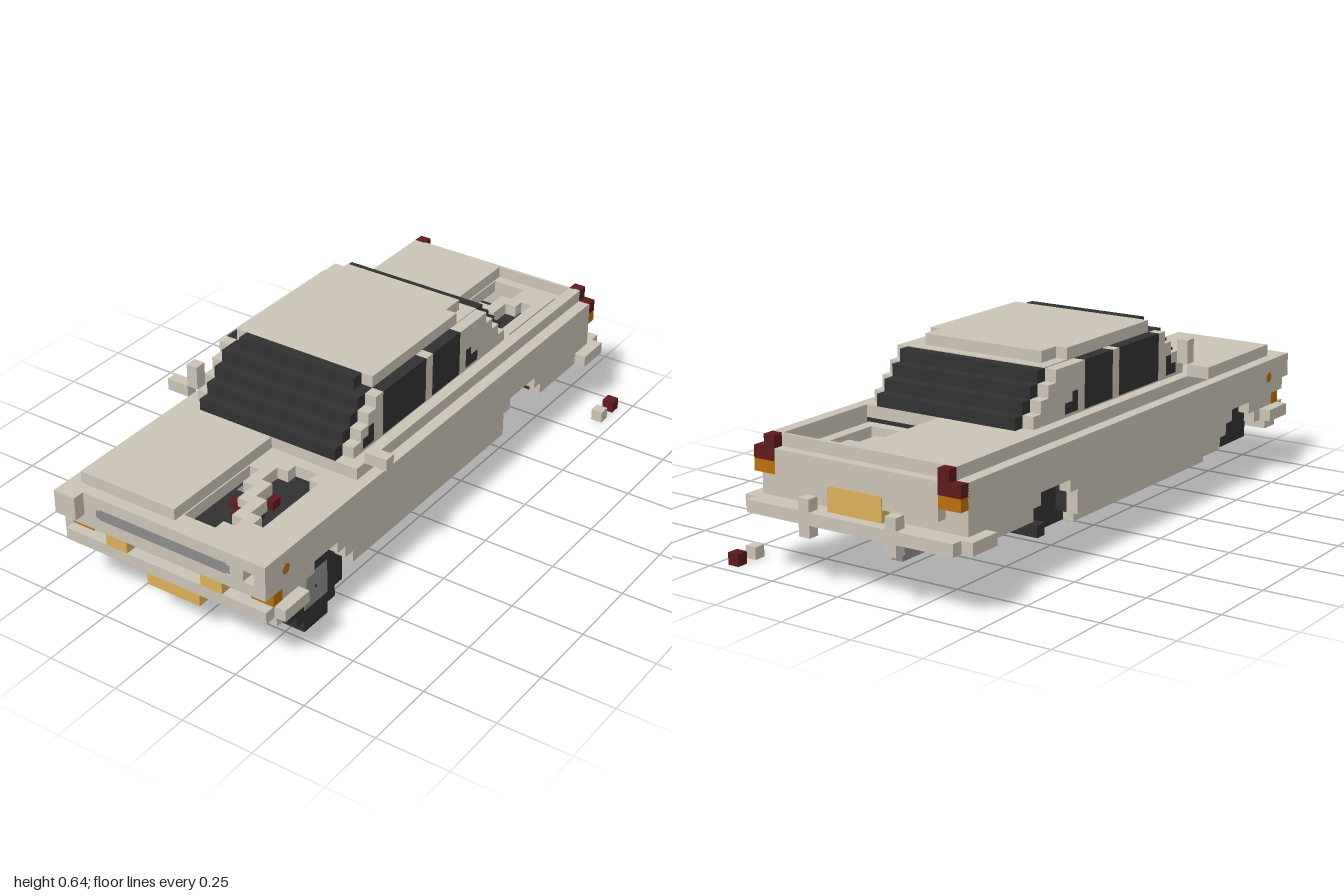
import * as THREE from 'three';

const paint = (name, color) => {
  const m = new THREE.MeshStandardMaterial({ color });
  m.name = name;
  return m;
};

export function createModel() {
  const car = new THREE.Group();
  car.name = 'wreckedCar';
  const beige = paint('beigePaint', 0xcac4b5);
  const dark = paint('darkGlassAndRubber', 0x313131);
  const grey = paint('greyMetal', 0x8c8c8c);
  const gold = paint('goldLampAndPlate', 0xdcb25b);
  const orange = paint('orangeLamp', 0xbc700d);
  const red = paint('redLamp', 0x5e1a1c);
  const MID = -0.04; // centre line of the body

  const add = (name, geo, mat) => {
    const mesh = new THREE.Mesh(geo, mat);
    mesh.name = name;
    car.add(mesh);
    return mesh;
  };
  // box from its two extreme corners
  const box = (name, mat, x0, x1, y0, y1, z0, z1) =>
    add(name, new THREE.BoxGeometry(x1 - x0, y1 - y0, z1 - z0)
      .translate((x0 + x1) / 2, (y0 + y1) / 2, (z0 + z1) / 2), mat);
  // the same box on both sides of the centre line
  const pair = (name, mat, x0, x1, ...rest) => {
    box(name + 'Left', mat, x0, x1, ...rest);
    box(name + 'Right', mat, 2 * MID - x1, 2 * MID - x0, ...rest);
  };
  const outline = pts => pts.map(([a, b]) => new THREE.Vector2(a, b));
  const extrude = (pts, holes, depth) => {
    const s = new THREE.Shape(outline(pts));
    for (const h of holes) s.holes.push(new THREE.Path(outline(h)));
    return new THREE.ExtrudeGeometry(s, { depth, bevelEnabled: false });
  };

  // side panels with stepped wheel arches, profile in (z, y)
  const arch = (c, steps) => {
    const half = [];
    for (const [w, y0, y1] of steps) half.push([w, y0], [w, y1]);
    return [...half.map(([w, y]) => [c - w, y]), ...half.reverse().map(([w, y]) => [c + w, y])];
  };
  const profile = [
    [-0.92, 0.4], [-0.92, 0.2], [-0.6, 0.2],
    ...arch(-0.48, [[0.12, 0.16, 0.24], [0.08, 0.24, 0.28]]).slice(1),
    ...arch(0.66, [[0.14, 0.16, 0.2], [0.1, 0.2, 0.24], [0.06, 0.24, 0.28]]).slice(0, -1),
    [0.88, 0.2], [0.88, 0.28], [0.92, 0.28], [0.92, 0.4],
  ];
  for (const [side, x] of [['Left', 0.34], ['Right', -0.38]])
    add('sidePanel' + side, extrude(profile, [], 0.04).rotateY(-Math.PI / 2).translate(x, 0, 0), beige);
  pair('sill', beige, 0.26, 0.3, 0.12, 0.18, -0.32, 0.48);

  // dark underbody and inner liners
  box('floor', dark, -0.34, 0.22, 0.12, 0.2, -0.48, 0.84);
  box('rearFloor', dark, -0.34, 0.22, 0.16, 0.24, -0.84, -0.48);
  box('bayFloor', dark, -0.34, 0.22, 0.2, 0.3, -0.9, 0.88);
  box('cabinTub', dark, -0.38, 0.3, 0.28, 0.4, -0.5, 0.42);
  pair('sillFloor', dark, 0.22, 0.26, 0.12, 0.3, -0.32, 0.52);
  pair('sideFloor', dark, 0.26, 0.3, 0.16, 0.3, -0.36, 0.52);
  pair('archRoofFront', dark, 0.22, 0.3, 0.28, 0.32, 0.48, 0.86);
  pair('archRoofRear', dark, 0.22, 0.3, 0.28, 0.32, -0.9, -0.32);
  pair('rearSkirtFloor', dark, 0.22, 0.3, 0.2, 0.28, -0.88, -0.6);
  box('rearAxle', dark, -0.38, 0.22, 0.12, 0.16, -0.52, -0.48);

  // front and rear panels, with an empty headlight socket
  add('frontPanel', extrude([[-0.42, 0.28], [0.34, 0.28], [0.34, 0.4], [-0.42, 0.4]],
    [[[0.26, 0.32], [0.26, 0.36], [0.3, 0.36], [0.3, 0.32]]], 0.04).translate(0, 0, 0.92), beige);
  box('frontInnerPanel', beige, -0.38, 0.3, 0.2, 0.4, 0.88, 0.92);
  box('bentFenderCorner', beige, -0.42, -0.34, 0.32, 0.4, 0.96, 1);
  box('rearPanel', beige, -0.42, 0.34, 0.2, 0.4, -0.925, -0.89);
  box('rearLampPanel', beige, -0.34, 0.26, 0.28, 0.4, -0.96, -0.92);
  box('rearPanelTop', beige, -0.38, 0.3, 0.4, 0.44, -0.925, -0.915);

  // bumpers and lower valance
  box('frontBumper', beige, -0.42, 0.34, 0.2, 0.24, 0.88, 0.96);
  pair('frontBumperEnd', beige, 0.34, 0.38, 0.2, 0.24, 0.8, 0.92);
  box('frontValance', beige, -0.42, 0.34, 0.16, 0.2, 0.84, 0.91);
  box('rearBumper', beige, -0.42, 0.34, 0.2, 0.24, -1, -0.92);
  pair('rearBumperEnd', beige, 0.34, 0.38, 0.2, 0.24, -0.96, -0.84);
  pair('rearBumperGuard', beige, 0.1, 0.14, 0.16, 0.28, -1, -0.96);

  // decks: raised right halves, broken left halves with holes, in (x, -z)
  const deck = (name, z0, z1, holes) => {
    const flip = pts => pts.map(([x, z]) => [x, -z]);
    add(name, extrude(flip([[-0.02, z0], [-0.02, z1], [0.22, z1], [0.22, z0]]), holes.map(flip), 0.04)
      .rotateX(-Math.PI / 2).translate(0, 0.36, 0), beige);
  };
  deck('brokenHood', 0.42, 0.92, [
    [[-0.015, 0.56], [0.02, 0.56], [0.02, 0.64], [0.06, 0.64], [0.06, 0.72], [0.1, 0.72],
      [0.1, 0.8], [0.14, 0.8], [0.14, 0.84], [0.1, 0.84], [0.1, 0.88], [-0.015, 0.88]],
    [[0.1, 0.48], [0.18, 0.48], [0.18, 0.52], [0.215, 0.52], [0.215, 0.8], [0.18, 0.8],
      [0.18, 0.76], [0.14, 0.76], [0.14, 0.68], [0.1, 0.68], [0.1, 0.6], [0.06, 0.6], [0.06, 0.52], [0.1, 0.52]],
  ]);
  deck('brokenTrunkLid', -0.92, -0.56, [
    [[-0.015, -0.88], [0.1, -0.88], [0.1, -0.8], [0.06, -0.8], [0.06, -0.72], [0.02, -0.72], [0.02, -0.68], [-0.015, -0.68]],
    [[0.14, -0.8], [0.18, -0.8], [0.18, -0.6], [0.06, -0.6], [0.06, -0.68], [0.1, -0.68], [0.1, -0.76], [0.14, -0.76]],
  ]);
  box('hoodEdge', beige, 0.22, 0.3, 0.36, 0.4, 0.42, 0.92);
  box('hood', beige, -0.38, -0.02, 0.36, 0.44, 0.44, 0.92);
  box('trunkLid', beige, -0.38, -0.02, 0.36, 0.44, -0.92, -0.52);
  box('trunkRail', beige, 0.26, 0.3, 0.32, 0.44, -0.92, -0.52);
  box('waistDeck', beige, -0.38, 0.3, 0.4, 0.44, -0.52, 0.44);

  // engine and its loose parts
  box('engineBlock', dark, -0.02, 0.1, 0.3, 0.36, 0.64, 0.88);
  box('engineHose', grey, -0.015, 0.02, 0.3, 0.35, 0.6, 0.64);
  for (const [x, y, z] of [[0.06, 0.33, 0.56], [0.02, 0.37, 0.68], [0.06, 0.37, 0.72]])
    box('enginePart', red, x, x + 0.04, y - 0.04, y, z, z + 0.04);

  // stepped cabin: glass core with painted pillars on each side
  for (let k = 0; k < 4; k++) {
    const s = 0.04 * k, y = 0.44 + s;
    box('cabinGlass', dark, -0.3, 0.22, y, y + 0.04, -0.52 + s, 0.44 - s);
    pair('cabinSide', beige, 0.22, 0.26, y, y + 0.04, -0.48 + s, 0.4 - s);
  }
  box('windscreenTop', dark, -0.26, 0.18, 0.6, 0.64, 0.24, 0.28);
  box('roof', beige, -0.3, 0.22, 0.6, 0.64, -0.24, 0.24);
  box('roofRear', beige, -0.26, 0.18, 0.6, 0.64, -0.32, -0.24);
  box('roofRearLip', beige, -0.3, 0.22, 0.595, 0.603, -0.36, -0.24);

  // side windows
  const windows = [
    ['frontWindow', 0.445, 0.601, 0, 0.24], ['rearWindow', 0.445, 0.601, -0.2, -0.04],
    ['frontQuarterLow', 0.45, 0.485, 0.29, 0.35], ['frontQuarterHigh', 0.48, 0.515, 0.29, 0.32],
    ['rearQuarterLow', 0.45, 0.485, -0.31, -0.24], ['rearQuarterHigh', 0.48, 0.515, -0.27, -0.24],
  ];
  for (const [name, ...r] of windows) pair(name, dark, 0.219, 0.261, ...r);

  // mirrors
  pair('mirror', beige, 0.3, 0.38, 0.44, 0.48, 0.36, 0.4);
  box('brokenMirrorPiece', beige, -0.38, -0.34, 0.48, 0.56, 0.36, 0.4);

  // grille: thin plate with rounded ends
  box('grille', grey, -0.28, 0.2, 0.323, 0.36, 0.955, 0.961);
  pair('grilleEnd', grey, 0.2, 0.212, 0.328, 0.355, 0.955, 0.961);

  // lamps and plates
  pair('frontIndicator', orange, 0.26, 0.341, 0.24, 0.28, 0.88, 0.925);
  pair('frontLamp', gold, 0.1, 0.18, 0.24, 0.28, 0.9, 0.96);
  pair('tailLamp', red, 0.26, 0.34, 0.36, 0.4, -0.96, -0.92);
  pair('tailLampTop', red, 0.26, 0.3, 0.4, 0.44, -0.96, -0.92);
  pair('rearIndicator', orange, 0.26, 0.34, 0.32, 0.36, -0.96, -0.92);
  box('frontPlate', gold, -0.14, 0.06, 0.12, 0.2, 0.88, 0.92);
  box('rearPlateBase', gold, -0.14, 0.06, 0.24, 0.28, -0.96, -0.92);
  box('rearPlate', gold, -0.14, 0.06, 0.24, 0.32, -0.963, -0.958);
  for (const x of [0.339, -0.419])
    add('sideMarker', new THREE.CylinderGeometry(0.018, 0.018, 0.005, 8)
      .rotateZ(Math.PI / 2).translate(x, 0.34, 0.86), orange);

  // the one remaining wheel
  for (const [w, h] of [[0.06, 0.14], [0.1, 0.1], [0.14, 0.06]])
    box('frontTyre', dark, 0.22, 0.3, 0.14 - h, 0.14 + h, 0.66 - w, 0.66 + w);
  box('wheelHub', grey, 0.28, 0.301, 0.08, 0.2, 0.6, 0.72);
  box('hubBolt', dark, 0.29, 0.302, 0.135, 0.145, 0.655, 0.665);

  // exhaust
  box('exhaustFront', grey, -0.18, -0.14, 0.08, 0.12, 0.12, 0.52);
  box('exhaustMiddle', grey, -0.18, -0.1, 0.08, 0.12, -0.56, 0.12);
  box('exhaustTail', grey, -0.18, -0.14, 0.12, 0.16, -0.92, -0.48);

  // debris on the ground
  box('lampDebris', red, 0.42, 0.46, 0, 0.04, -0.96, -0.92);
  box('paintDebris', beige, 0.42, 0.46, 0, 0.04, -0.88, -0.84);

  return car;
}
